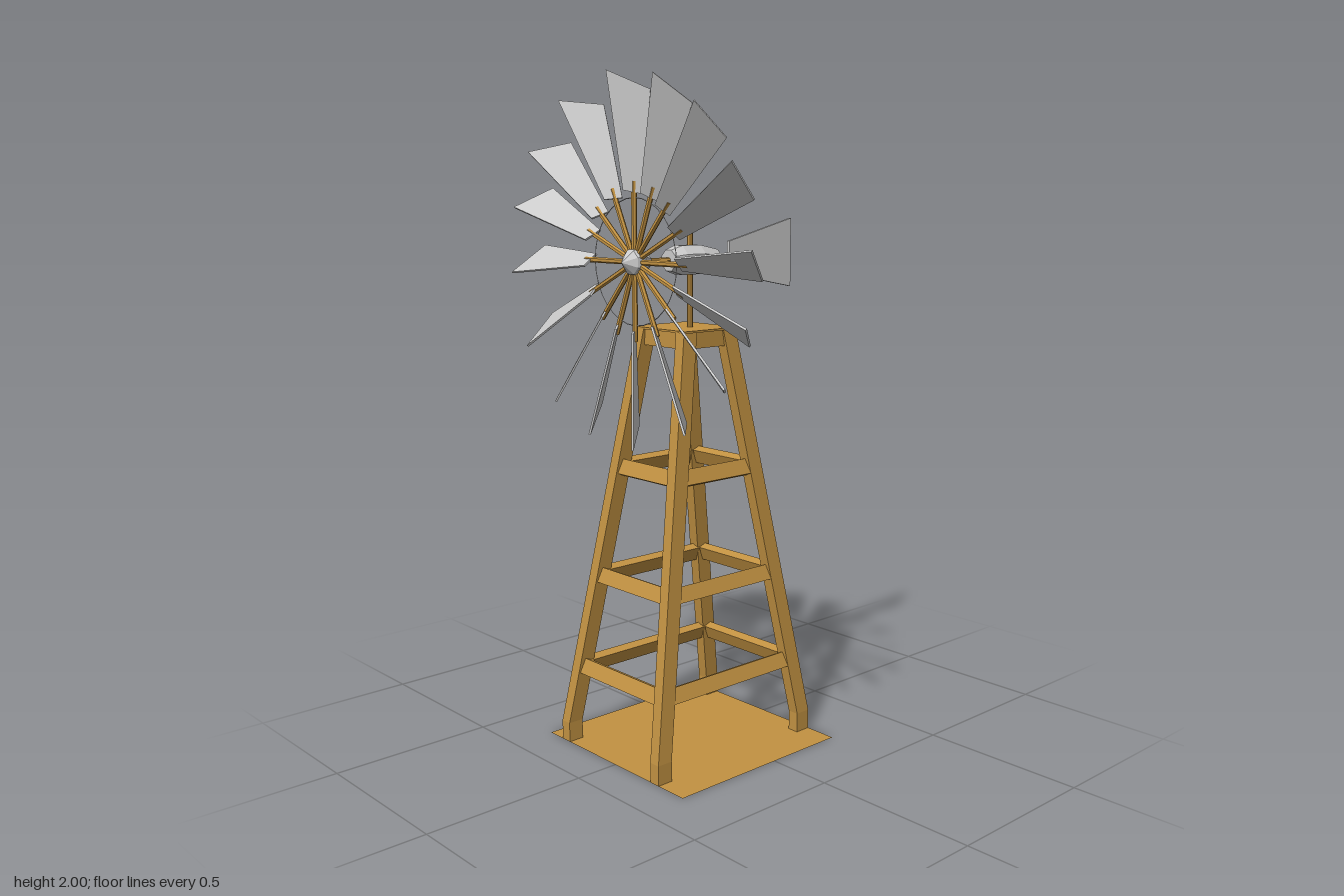
import * as THREE from 'three';

const wood = new THREE.MeshStandardMaterial({ color: 0xc29242, flatShading: true });
const woodSheet = new THREE.MeshStandardMaterial({ color: 0xc29242, flatShading: true, side: THREE.DoubleSide });
const metal = new THREE.MeshStandardMaterial({ color: 0xcccccc, flatShading: true });

function part(parent, name, geometry, material, x = 0, y = 0, z = 0) {
  const mesh = new THREE.Mesh(geometry, material);
  mesh.name = name;
  mesh.position.set(x, y, z);
  parent.add(mesh);
  return mesh;
}

// Solid skinned over four-cornered sections, with both ends capped
function loft(sections) {
  const pos = [];
  const quad = (a, b, c, d) => pos.push(...a, ...b, ...c, ...a, ...c, ...d);
  for (let s = 0; s < sections.length - 1; s++) {
    const a = sections[s], b = sections[s + 1];
    for (let i = 0; i < 4; i++) {
      const j = (i + 1) % 4;
      quad(a[i], a[j], b[j], b[i]);
    }
  }
  quad(...[...sections[0]].reverse());
  quad(...sections[sections.length - 1]);
  const geometry = new THREE.BufferGeometry();
  geometry.setAttribute('position', new THREE.Float32BufferAttribute(pos, 3));
  geometry.computeVertexNormals();
  return geometry;
}

const rect = (x0, x1, y, z0, z1) => [[x0, y, z1], [x1, y, z1], [x1, y, z0], [x0, y, z0]];

// Turned body lying along x; profile is [x, radius] pairs
function turned(profile, sides) {
  const pts = [...profile].reverse().map(([x, r]) => new THREE.Vector2(r, -x));
  return new THREE.LatheGeometry(pts, sides, Math.PI / sides).rotateZ(Math.PI / 2);
}

// Half width (x) and half depth (z) of the tower at height y
const LEG = { x: 0.05, z: 0.036, knee: 0.06, top: 1.27 };
function towerHalf(y) {
  const t = Math.max(0, (y - LEG.knee) / (LEG.top - LEG.knee));
  return [0.31 - 0.208 * t, 0.228 - 0.12 * t];
}

function buildTower() {
  const tower = new THREE.Group();
  tower.name = 'tower';
  tower.position.set(-0.055, 0, -0.031);

  for (const sx of [-1, 1]) for (const sz of [-1, 1]) {
    const sections = [0, LEG.knee, LEG.top].map((y) => {
      const [hx, hz] = towerHalf(y);
      const xs = [sx * hx, sx * (hx - LEG.x)].sort((a, b) => a - b);
      const zs = [sz * hz, sz * (hz - LEG.z)].sort((a, b) => a - b);
      return rect(xs[0], xs[1], y, zs[0], zs[1]);
    });
    part(tower, 'leg', loft(sections), wood);
  }

  // Cross bars lean inward; the top frame stands upright
  const rows = [[0.235, 0.4], [0.519, 0.4], [0.852, 0.4], [1.245, 0]];
  for (const [y, tilt] of rows) {
    const [hx, hz] = towerHalf(y);
    const inset = 0.02;
    for (const s of [-1, 1]) {
      const across = part(tower, 'crossBar', new THREE.BoxGeometry(2 * hx - 0.05, 0.047, 0.027), wood, 0, y, s * (hz - inset));
      across.rotation.x = -s * tilt;
      const along = part(tower, 'sideBar', new THREE.BoxGeometry(0.027, 0.047, 2 * hz - 0.036), wood, s * (hx - inset - 0.004), y, 0);
      along.rotation.z = s * tilt;
    }
  }

  part(tower, 'platform', new THREE.BoxGeometry(0.21, 0.006, 0.232), wood, 0, 1.272, 0);
  return tower;
}

function buildWheel() {
  const wheel = new THREE.Group();
  wheel.name = 'windWheel';
  wheel.position.set(-0.27, 1.473, -0.005);

  part(wheel, 'hub', turned([[-0.048, 0], [-0.015, 0.036], [0.01, 0.042], [0.045, 0.022], [0.045, 0]], 8), metal);
  const ring = part(wheel, 'wireRing', new THREE.TorusGeometry(0.18, 0.0015, 4, 32), metal);
  ring.rotation.y = Math.PI / 2;

  // Pitched blade, widening outward, with a slanted tip
  const n = [0.0022, 0, -0.0022];
  const section = (a, b) => {
    const off = (p, k) => p.map((v, i) => v + k * n[i]);
    return [off(a, -1), off(b, -1), off(b, 1), off(a, 1)];
  };
  const blade = loft([
    section([-0.025, 0.2, -0.018], [0.013, 0.19, 0.016]),
    section([-0.055, 0.527, -0.05], [0.036, 0.475, 0.032]),
  ]);
  const spoke = new THREE.CylinderGeometry(0.008, 0.008, 0.225, 6).translate(0, 0.1125, 0);

  // Four uneven steps repeated in each quarter
  const steps = [0, 25.5, 48.5, 68.3];
  for (let quarter = 0; quarter < 4; quarter++) {
    for (const step of steps) {
      const arm = new THREE.Group();
      arm.name = 'bladeArm';
      arm.rotation.x = -THREE.MathUtils.degToRad(quarter * 90 + step);
      part(arm, 'spoke', spoke, wood);
      part(arm, 'blade', blade, metal);
      wheel.add(arm);
    }
  }
  return wheel;
}

function buildHead() {
  const head = new THREE.Group();
  head.name = 'head';
  head.position.set(0, 1.473, -0.011);

  part(head, 'mast', new THREE.CylinderGeometry(0.009, 0.009, 0.28, 8), wood, -0.055, -0.063, 0);
  const shaft = part(head, 'shaft', new THREE.CylinderGeometry(0.009, 0.009, 0.365, 8), wood, -0.08, 0, 0);
  shaft.rotation.z = Math.PI / 2;
  part(head, 'gearHousing', turned([
    [-0.138, 0], [-0.138, 0.033], [-0.1, 0.046], [-0.03, 0.046], [0.045, 0.03], [0.045, 0],
  ], 8), metal);

  // Flared tail vane
  const vane = new THREE.Shape();
  vane.moveTo(0.1, -0.047);
  vane.lineTo(0.365, -0.097);
  vane.lineTo(0.365, 0.115);
  vane.lineTo(0.1, 0.05);
  vane.closePath();
  part(head, 'tailVane', new THREE.ExtrudeGeometry(vane, { depth: 0.01, bevelEnabled: false }), metal, 0, 0, -0.006);
  return head;
}

export function createModel() {
  const model = new THREE.Group();
  model.name = 'windPump';
  const ground = part(model, 'baseSheet', new THREE.PlaneGeometry(0.62, 0.62), woodSheet, -0.055, 0, -0.01);
  ground.rotation.x = -Math.PI / 2;
  model.add(buildTower(), buildHead(), buildWheel());
  return model;
}
